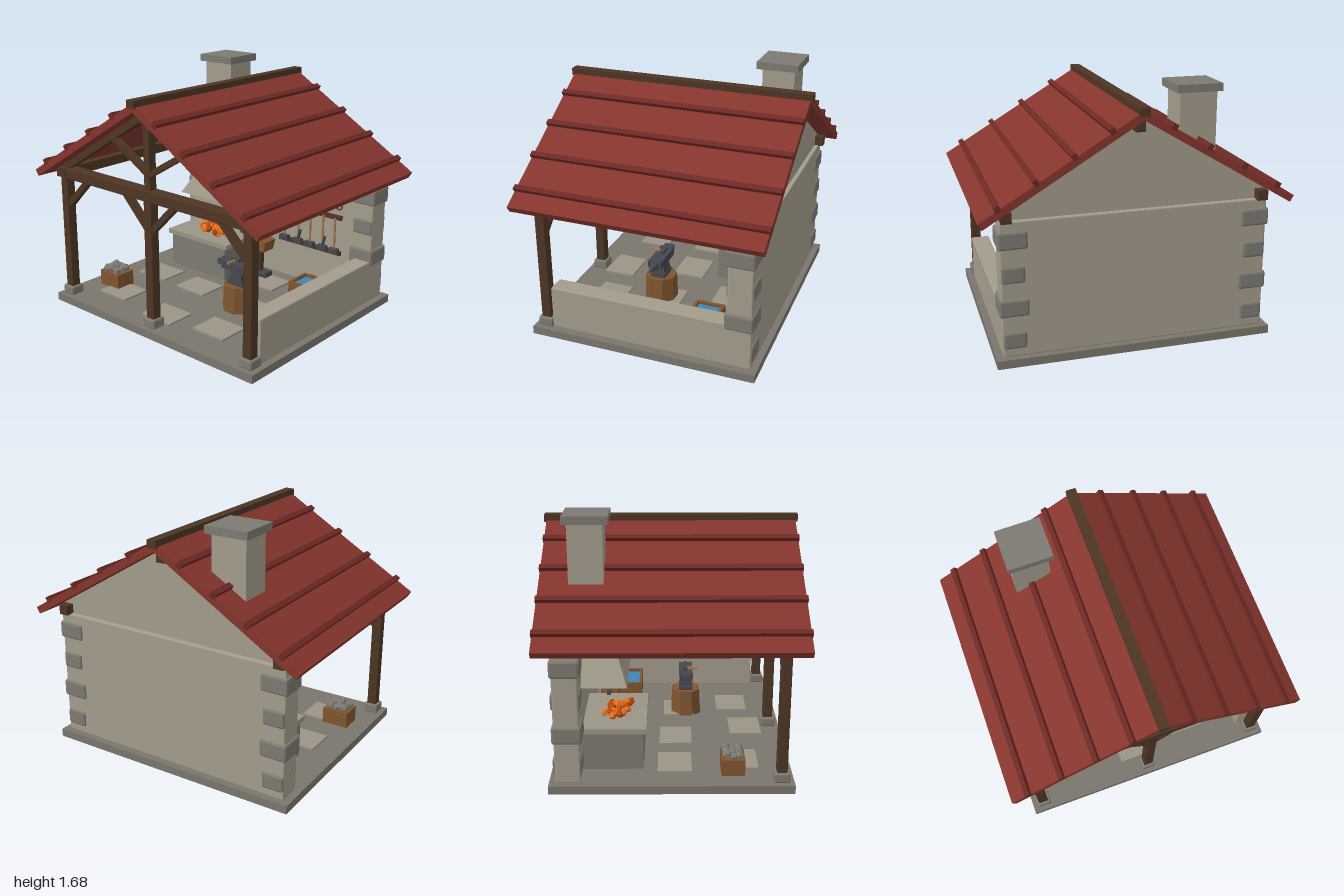
import * as THREE from 'three';
import { RoundedBoxGeometry } from 'three/addons/geometries/RoundedBoxGeometry.js';

const mat = (color) => new THREE.MeshStandardMaterial({ color, flatShading: true });
const M = {
  wall: mat(0xa39c8c), stone: mat(0x7d7a72), base: mat(0x7a766c), slab: mat(0x9a9486),
  roof: mat(0x85352d), batten: mat(0x6c2924), timber: mat(0x4d3524), wood: mat(0x805530),
  handle: mat(0xa9794a), iron: mat(0x45474e), coal: mat(0xe8701c), ember: mat(0xb8480f), water: mat(0x3f86b5),
};

export function createModel() {
  const root = new THREE.Group();
  const add = (name, geo, material, x = 0, y = 0, z = 0) => {
    const m = new THREE.Mesh(geo, material);
    m.name = name;
    m.position.set(x, y, z);
    root.add(m);
    return m;
  };
  // Box given by its limits on each axis; a bevel above 0 chamfers the edges
  const box = (name, material, [x0, x1], [y0, y1], [z0, z1], bevel = 0) => {
    const s = [x1 - x0, y1 - y0, z1 - z0];
    const geo = bevel ? new RoundedBoxGeometry(...s, 1, bevel) : new THREE.BoxGeometry(...s);
    return add(name, geo, material, (x0 + x1) / 2, (y0 + y1) / 2, (z0 + z1) / 2);
  };
  // Straight timber in the xy plane between two points
  const bar = (name, x0, y0, x1, y1, w, d, z, material = M.timber) => {
    const m = add(name, new THREE.BoxGeometry(Math.hypot(x1 - x0, y1 - y0), w, d), material, (x0 + x1) / 2, (y0 + y1) / 2, z);
    m.rotation.z = Math.atan2(y1 - y0, x1 - x0);
    return m;
  };
  // Outline in xy extruded from z0 to z1
  const prism = (name, pts, z0, z1, material) => add(name, new THREE.ExtrudeGeometry(
    new THREE.Shape(pts.map((p) => new THREE.Vector2(...p))), { depth: z1 - z0, bevelEnabled: false }), material, 0, 0, z0);
  let seed = 7;
  const rnd = () => (seed = (seed * 16807) % 2147483647) / 2147483647;

  // Floor and paving slabs
  box('floor', M.base, [-0.905, 0.905], [0, 0.055], [-0.77, 0.77]);
  for (const [x, z] of [[-0.56, 0.45], [-0.05, 0.52], [0.36, 0.45], [-0.6, 0.02], [-0.2, 0.03], [0.27, 0.06], [0.58, 0.12], [0.12, -0.36]])
    box('pavingSlab', M.slab, [x - 0.13, x + 0.13], [0.05, 0.068], [z - 0.11, z + 0.11]);

  // Back wall, gable and low side wall
  box('backWall', M.wall, [-0.86, 0.86], [0.055, 0.935], [-0.73, -0.57], 0.008);
  prism('gable', [[-0.86, 0.93], [0.86, 0.93], [0.86, 0.998], [0, 1.514], [-0.86, 0.998]], -0.7, -0.575, M.wall);
  box('lowWall', M.wall, [0.735, 0.86], [0.055, 0.355], [-0.72, 0.64], 0.008);

  // Corner stones, every second one wrapping round the side
  for (const s of [-1, 1]) {
    [0.165, 0.38, 0.597, 0.815].forEach((y, i) => {
      const wide = i % 2, out = wide ? 0.875 : 0.858, inner = wide ? 0.69 : 0.71, h = wide ? 0.057 : 0.055;
      box('cornerStone', M.stone, [Math.min(s * inner, s * out), Math.max(s * inner, s * out)],
        [y - h, y + h], [-0.742, wide ? -0.555 : -0.56], 0.014);
    });
  }

  // Posts on stone feet
  for (const x of [-0.823, 0, 0.823]) {
    box('postFoot', M.stone, [x - 0.05, x + 0.05], [0.055, 0.12], [0.64, 0.74], 0.01);
    box('post', M.timber, [x - 0.033, x + 0.033], [0.11, 0.94], [0.657, 0.723], 0.005);
  }

  // Front truss and long beams
  box('tieBeam', M.timber, [-0.89, 0.89], [0.925, 1.0], [0.647, 0.733], 0.006);
  box('kingPost', M.timber, [-0.025, 0.025], [0.99, 1.5], [0.662, 0.718]);
  box('ridgePurlin', M.timber, [-0.03, 0.03], [1.43, 1.5], [-0.76, 0.74]);
  for (const s of [-1, 1]) {
    bar('rafter', s * 0.84, 0.985, 0, 1.489, 0.05, 0.06, 0.69);
    bar('trussStrut', s * 0.01, 1.1, s * 0.33, 1.29, 0.036, 0.045, 0.69);
    bar('outerBrace', s * 0.81, 0.72, s * 0.59, 0.94, 0.04, 0.045, 0.69);
    bar('innerBrace', s * 0.01, 0.72, s * 0.23, 0.94, 0.04, 0.045, 0.69);
    box('wallPlate', M.timber, [s * 0.82 - 0.033, s * 0.82 + 0.033], [0.932, 0.998], [-0.76, 0.74]);
  }

  // Roof with battens and ridge cap
  prism('roof', [[0, 1.57], [-0.998, 0.971], [-0.973, 0.93], [0, 1.514], [0.973, 0.93], [0.998, 0.971]], -0.825, 0.825, M.roof);
  for (const s of [-1, 1]) for (const x of [0.19, 0.42, 0.65, 0.88]) {
    const b = add('roofBatten', new THREE.BoxGeometry(0.036, 0.04, 1.66), M.batten, s * x, 1.57 - 0.6 * x + 0.007, 0);
    b.rotation.z = -s * Math.atan(0.6);
  }
  box('ridgeCap', M.timber, [-0.033, 0.033], [1.54, 1.59], [-0.84, 0.84]);

  // Chimney and tapering smoke hood
  box('chimney', M.wall, [-0.53, -0.29], [0.78, 1.64], [-0.64, -0.42]);
  box('chimneyCap', M.stone, [-0.555, -0.26], [1.63, 1.68], [-0.67, -0.385]);
  const hood = box('smokeHood', M.wall, [-0.67, -0.145], [0.615, 0.8], [-0.575, -0.28]);
  const hp = hood.geometry.attributes.position;
  for (let i = 0; i < hp.count; i++) if (hp.getY(i) > 0) {
    hp.setX(i, hp.getX(i) * 0.62 + 0.015);
    if (hp.getZ(i) > 0) hp.setZ(i, hp.getZ(i) - 0.065);
  }
  hood.geometry.computeVertexNormals();

  // Forge hearth with glowing coals
  box('hearthBody', M.stone, [-0.675, -0.14], [0.055, 0.31], [-0.575, -0.18]);
  box('hearthTop', M.slab, [-0.695, -0.11], [0.308, 0.343], [-0.575, -0.16]);
  for (let i = 0; i < 26; i++) {
    const c = add('coal', new THREE.DodecahedronGeometry(0.022 + 0.012 * rnd(), 0), i % 3 ? M.coal : M.ember,
      -0.53 + 0.25 * rnd(), 0.355 + 0.012 * rnd(), -0.44 + 0.17 * rnd());
    c.rotation.set(rnd() * 3, rnd() * 3, 0);
    c.scale.set(1.2, 0.8, 1);
  }

  // Bellows on a low stand
  bar('bellows', -0.1, 0.36, 0.08, 0.315, 0.085, 0.12, -0.43, M.wood);
  bar('bellowsNozzle', -0.19, 0.375, -0.09, 0.355, 0.025, 0.025, -0.43, M.iron);
  box('bellowsStand', M.iron, [-0.14, 0.08], [0.055, 0.105], [-0.47, -0.39]);
  box('bellowsLeg', M.timber, [-0.025, 0.015], [0.1, 0.31], [-0.45, -0.41]);

  // Stump and anvil
  const stump = add('stump', new THREE.CylinderGeometry(0.108, 0.115, 0.185, 8), M.wood, 0.243, 0.148, 0.11);
  stump.rotation.y = Math.PI / 8;
  box('anvilFoot', M.iron, [0.18, 0.312], [0.238, 0.268], [0.06, 0.16]);
  const waist = add('anvilWaist', new THREE.CylinderGeometry(0.065, 0.08, 0.08, 4, 1).rotateY(Math.PI / 4), M.iron, 0.247, 0.303, 0.11);
  waist.scale.z = 0.8;
  box('anvilBody', M.iron, [0.125, 0.365], [0.338, 0.393], [0.062, 0.158]);
  box('anvilHeel', M.iron, [0.08, 0.13], [0.352, 0.39], [0.075, 0.145]);
  const horn = add('anvilHorn', new THREE.ConeGeometry(0.034, 0.11, 8), M.iron, 0.415, 0.362, 0.11);
  horn.rotation.z = -Math.PI / 2;
  box('hammerHead', M.iron, [0.18, 0.25], [0.39, 0.415], [0.09, 0.12]);
  box('hammerHandle', M.handle, [0.207, 0.223], [0.395, 0.41], [0.11, 0.195]);

  // Crate of ore
  box('oreCrate', M.wood, [-0.785, -0.6], [0.06, 0.17], [0.315, 0.465]);
  for (let i = 0; i < 9; i++) {
    const o = add('ore', new THREE.DodecahedronGeometry(0.03, 0), M.stone,
      -0.745 + 0.05 * (i % 3), 0.175 + 0.02 * rnd(), 0.35 + 0.04 * Math.floor(i / 3));
    o.rotation.set(rnd() * 3, rnd() * 3, 0);
  }

  // Water trough
  for (const z of [-0.42, -0.24]) box('troughSide', M.wood, [0.42, 0.73], [0.06, 0.2], [z, z + 0.02]);
  for (const x of [0.42, 0.71]) box('troughEnd', M.wood, [x, x + 0.02], [0.06, 0.2], [-0.4, -0.24]);
  box('water', M.water, [0.44, 0.71], [0.065, 0.18], [-0.4, -0.24]);

  // Tool rack on the back wall
  for (const y of [0.34, 0.605]) box('rackRail', M.timber, [0.08, 0.62], [y, y + 0.03], [-0.575, -0.545]);
  [0.145, 0.265, 0.37, 0.48, 0.58].forEach((x, i) => {
    add('toolHandle', new THREE.CylinderGeometry(0.008, 0.008, 0.25, 6), M.handle, x, 0.495, -0.535);
    box('toolHead', M.iron, [x - 0.035, x + 0.035], [0.358, 0.395], [-0.55, -0.515]);
    if (i === 1 || i === 3) bar('toolBlade', x, 0.38, x + 0.022, 0.465, 0.014, 0.02, -0.53, M.iron);
  });
  add('hangingRing', new THREE.TorusGeometry(0.024, 0.006, 6, 16), M.iron, 0.595, 0.705, -0.558);

  return root;
}
